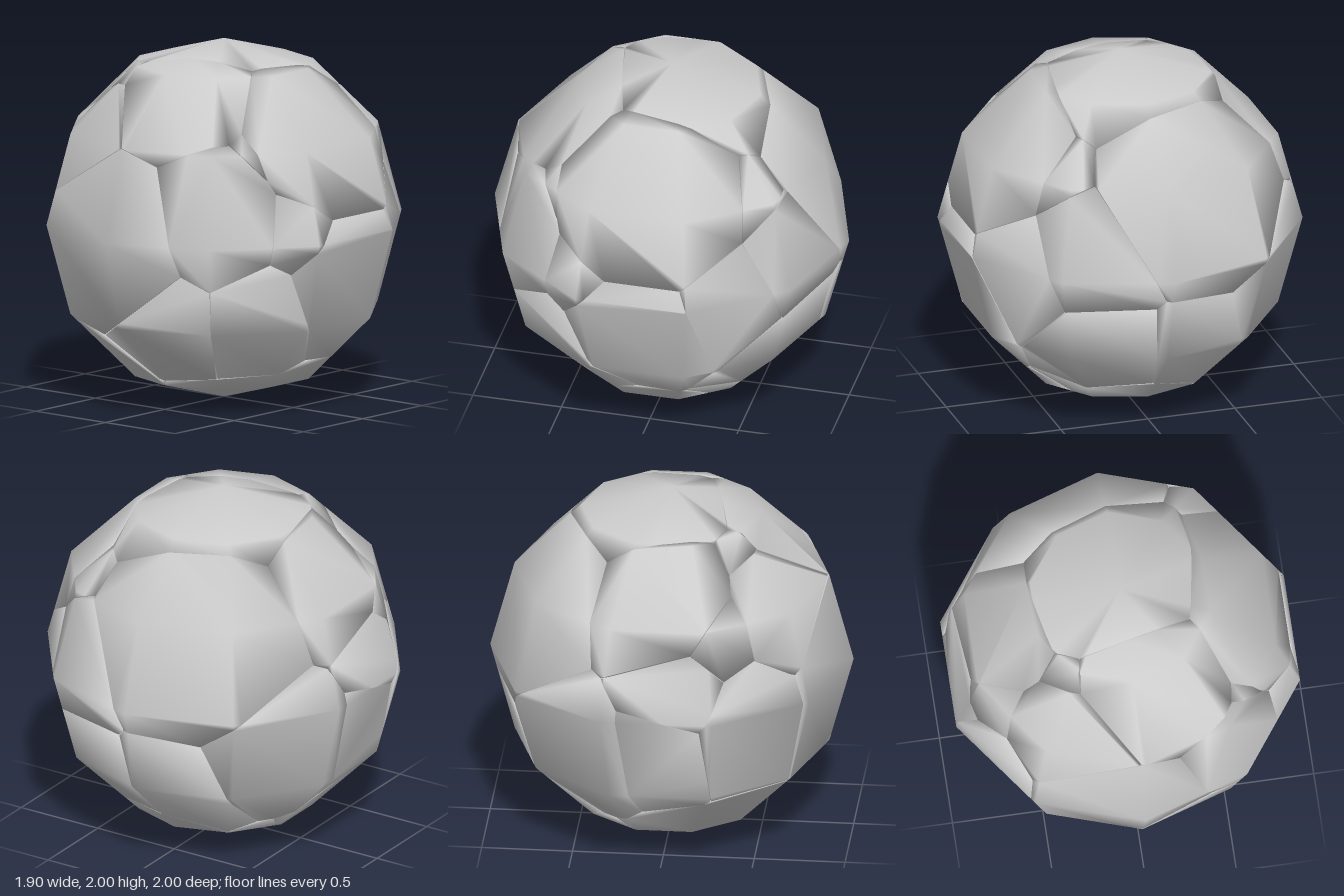
import * as THREE from 'three';
import { mergeVertices } from 'three/addons/utils/BufferGeometryUtils.js';

// Shards of the ball: name, direction of the middle, angular reach
const SHARDS = [
  ['frontShard', [-0.12, -0.05, 0.95], 0.6],
  ['frontUpperShard', [0.12, 0.78, 0.55], 0.45],
  ['frontUpperRightShard', [-0.4, 0.5, 0.75], 0.42],
  ['frontLeftShard', [0.55, 0.15, 0.8], 0.42],
  ['frontLowerShard', [0.2, -0.5, 0.8], 0.45],
  ['frontLowerLeftShard', [0.65, -0.5, 0.5], 0.4],
  ['frontRightShard', [-0.75, -0.1, 0.55], 0.4],
  ['leftUpperShard', [0.78, 0.58, -0.05], 0.58],
  ['leftSmallShard', [0.93, 0.08, 0.32], 0.27],
  ['leftChip', [0.72, 0.5, 0.47], 0.11],
  ['leftShard', [0.95, -0.25, -0.05], 0.48],
  ['backLeftShard', [0.83, -0.1, -0.55], 0.42],
  ['backShard', [0.44, 0.11, -0.89], 0.42],
  ['topShard', [-0.05, 0.93, -0.2], 0.58],
  ['backUpperShard', [-0.3, 0.48, -0.82], 0.68],
  ['rightUpperShard', [-0.72, 0.68, -0.06], 0.45],
  ['backRightShard', [-0.78, -0.25, -0.6], 0.48],
  ['rightLowerShard', [-0.96, -0.22, 0], 0.32],
  ['rightShard', [-0.96, 0.18, 0.1], 0.3],
  ['rightFrontSliver', [-0.81, 0.46, 0.33], 0.25],
  ['backLowerShard', [-0.2, -0.5, -0.85], 0.4],
  ['backLowerLeftShard', [0.37, -0.53, -0.77], 0.45],
  ['bottomBackShard', [0.19, -0.86, -0.47], 0.28],
  ['bottomShard', [0.1, -1, 0.05], 0.48],
  ['bottomFrontRightShard', [-0.35, -0.85, 0.35], 0.38],
  ['backUpperLeftSliver', [0.6, 0.58, -0.6], 0.2],
  ['frontUpperSliver', [-0.33, 0.78, 0.5], 0.15],
].map(([name, d, reach]) => ({
  name, dir: new THREE.Vector3(...d).normalize(), weight: -Math.cos(reach),
}));

const GAP = 0.002;   // hairline between shards
const INNER = 0.45;  // depth of the hollow middle

// Ten-sided ball with six rows of faces, as a list of polygons
function ballFaces() {
  const rows = 6, cols = 10;
  const point = (i, j) => new THREE.Vector3().setFromSphericalCoords(
    1, (i / rows) * Math.PI, (j / cols) * Math.PI * 2);
  const faces = [];
  for (let i = 0; i < rows; i++) {
    for (let j = 0; j < cols; j++) {
      const face = [point(i, j)];
      if (i < rows - 1) face.push(point(i + 1, j));
      face.push(point(i + 1, j + 1));
      if (i > 0) face.push(point(i, j + 1));
      faces.push(face);
    }
  }
  return faces;
}

// Keep the side of a convex solid where n.p <= d and close the cut
function clip(faces, n, d) {
  const kept = [], rim = [];
  for (const face of faces) {
    const out = [];
    face.forEach((a, k) => {
      const b = face[(k + 1) % face.length];
      const da = n.dot(a) - d, db = n.dot(b) - d;
      if (da <= 0) out.push(a);
      if ((da <= 0) !== (db <= 0)) {
        const p = a.clone().lerp(b, da / (da - db));
        out.push(p);
        if (!rim.some((q) => q.distanceTo(p) < 1e-5)) rim.push(p);
      }
    });
    if (out.length > 2) kept.push(out);
  }
  if (rim.length > 2) {
    const mid = rim.reduce((s, p) => s.add(p), new THREE.Vector3()).divideScalar(rim.length);
    const u = rim[0].clone().sub(mid).normalize();
    const v = n.clone().cross(u);
    const angle = (p) => {
      const q = p.clone().sub(mid);
      return Math.atan2(q.dot(v), q.dot(u));
    };
    kept.push(rim.sort((a, b) => angle(a) - angle(b)));
  }
  return kept;
}

// Triangulate a solid and share its corners so it shades softly
function solidGeometry(faces) {
  const pos = [];
  for (const f of faces) {
    for (let k = 1; k < f.length - 1; k++) {
      for (const p of [f[0], f[k], f[k + 1]]) pos.push(p.x, p.y, p.z);
    }
  }
  let geo = new THREE.BufferGeometry();
  geo.setAttribute('position', new THREE.Float32BufferAttribute(pos, 3));
  geo = mergeVertices(geo, 1e-4);
  geo.computeVertexNormals();
  return geo;
}

export function createModel() {
  const group = new THREE.Group();
  group.name = 'shatteredBall';
  const material = new THREE.MeshStandardMaterial({ color: 0xcccccc });

  for (const shard of SHARDS) {
    let faces = ballFaces();
    // Cut away everything nearer to another shard
    for (const other of SHARDS) {
      if (other === shard) continue;
      const n = other.dir.clone().sub(shard.dir);
      const len = n.length();
      faces = clip(faces, n.divideScalar(len), (shard.weight - other.weight) / len - GAP);
    }
    // Hollow middle
    faces = clip(faces, shard.dir.clone().negate(), -INNER);
    if (faces.length < 4) continue;
    const mesh = new THREE.Mesh(solidGeometry(faces), material);
    mesh.name = shard.name;
    mesh.position.y = 1;
    group.add(mesh);
  }
  return group;
}
